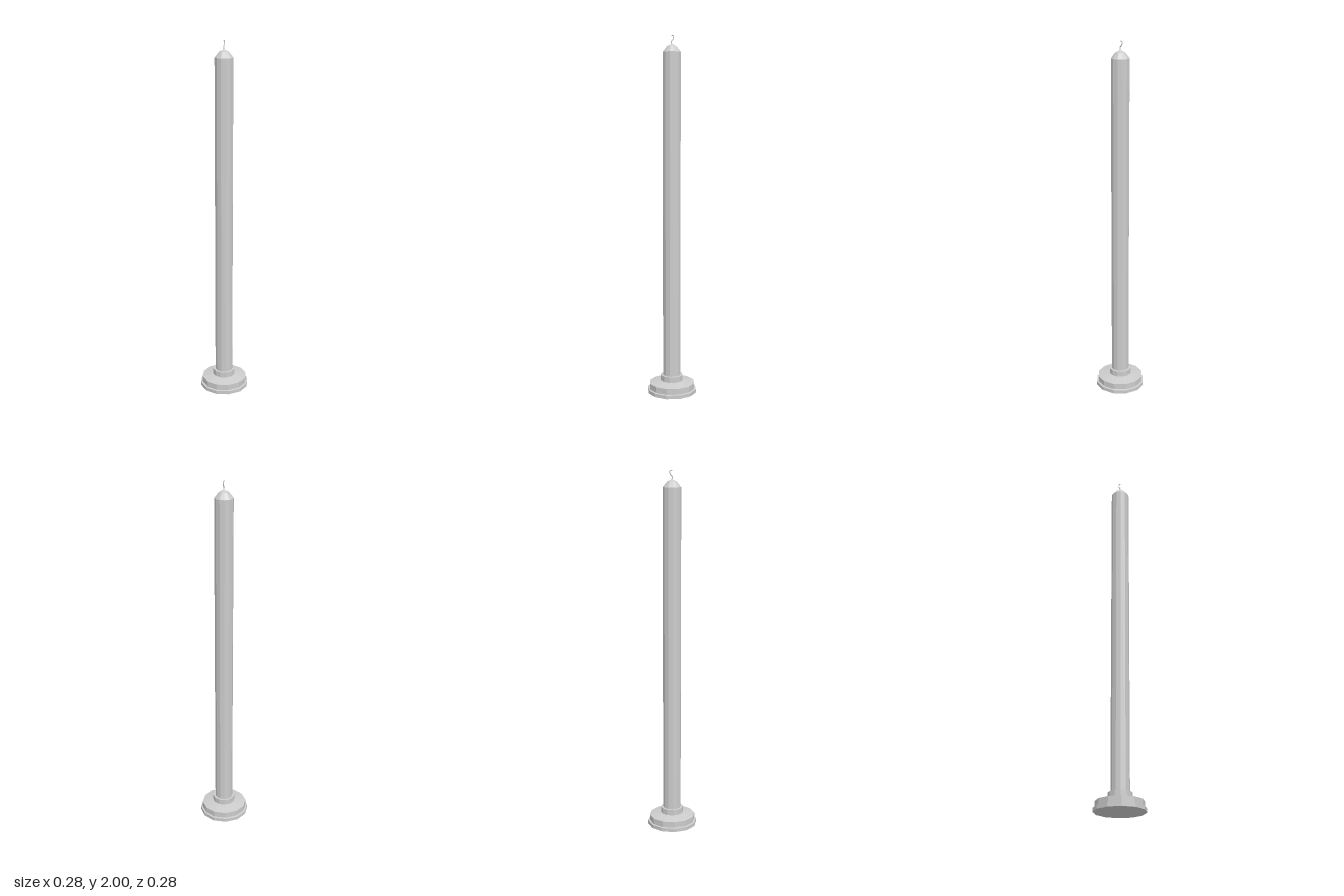
import * as THREE from 'three';

const material = new THREE.MeshStandardMaterial({ color: 0xcccccc, flatShading: true, side: THREE.DoubleSide });

// Twelve-sided turned part from [radius, height] pairs, bottom to top
function turned(name, profile) {
  const points = profile.map(([r, y]) => new THREE.Vector2(r, y));
  const mesh = new THREE.Mesh(new THREE.LatheGeometry(points, 12), material);
  mesh.name = name;
  return mesh;
}

export function createModel() {
  const group = new THREE.Group();
  group.name = 'candle';

  // Stepped holder: foot rim, drum, sloping top and collar
  group.add(turned('holder', [
    [0, 0], [0.14, 0], [0.14, 0.02], [0.13, 0.022], [0.13, 0.055],
    [0.063, 0.068], [0.063, 0.1], [0.05, 0.1],
  ]));

  // Tall shaft with a tapered shoulder
  group.add(turned('candleBody', [
    [0.05, 0.07], [0.05, 1.91], [0.025, 1.941], [0, 1.952],
  ]));

  // Thin wick, curling over at its tip
  const curve = new THREE.CatmullRomCurve3([
    [0, 1.945, 0], [0, 1.968, 0.001], [-0.001, 1.975, -0.007],
    [-0.002, 1.987, -0.011], [-0.002, 1.997, -0.009], [-0.002, 1.997, 0.001],
  ].map((p) => new THREE.Vector3(...p)));
  const wick = new THREE.Mesh(new THREE.TubeGeometry(curve, 12, 0.003, 5), material);
  wick.name = 'wick';
  group.add(wick);

  return group;
}
